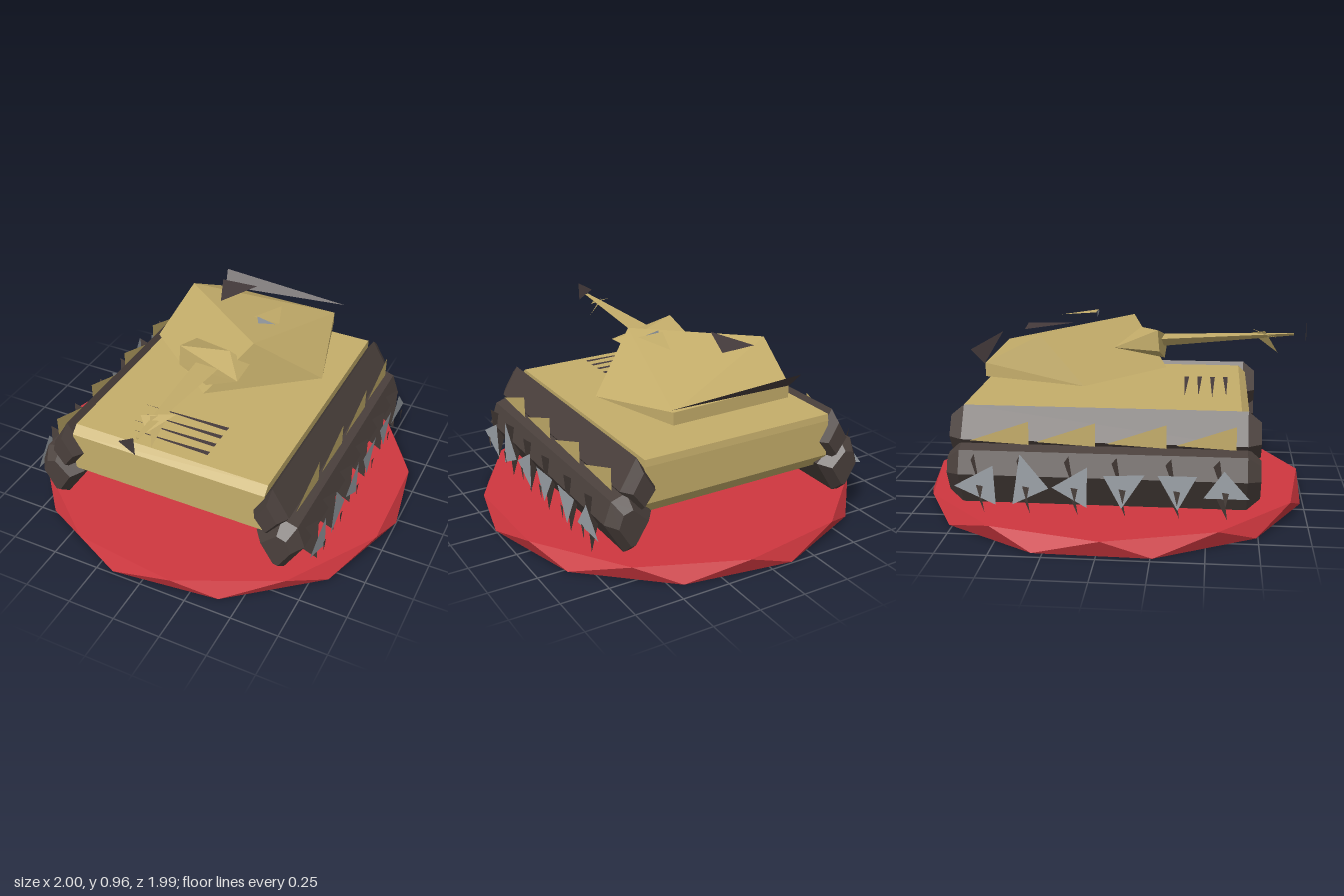
import * as THREE from 'three';
import { ConvexGeometry } from 'three/addons/geometries/ConvexGeometry.js';

function material(name, color) {
  const m = new THREE.MeshStandardMaterial({ color, side: THREE.DoubleSide, flatShading: true });
  m.name = name;
  return m;
}

export function createModel() {
  const sand = material('sand paint', 0xc4ad6a);
  const dark = material('dark track', 0x4a403c);
  const hatchDark = material('hatch dark', 0x453b3c);
  const red = material('red base', 0xcf373f);
  const grey = material('steel grey', 0x9ca2a8);

  const model = new THREE.Group();
  model.name = 'tank';
  const vec = (p) => new THREE.Vector3(...p);
  const add = (parent, name, geometry, mat) => {
    const mesh = new THREE.Mesh(geometry, mat);
    mesh.name = name;
    parent.add(mesh);
    return mesh;
  };
  // faceted solid around its corner points
  const solid = (parent, name, points, mat) => add(parent, name, new ConvexGeometry(points.map(vec)), mat);
  // single thin triangular plate
  const plate = (parent, name, points, mat) => {
    const g = new THREE.BufferGeometry().setFromPoints(points.map(vec));
    g.computeVertexNormals();
    return add(parent, name, g, mat);
  };

  // Base: two eleven-sided rings turned against each other
  const ring = [];
  for (let i = 0; i < 11; i++) {
    const a = (i / 11) * Math.PI * 2;
    ring.push([Math.sin(a + 0.165), 0.087, Math.cos(a + 0.165)]);
    ring.push([Math.sin(a - 0.165), 0, Math.cos(a - 0.165)]);
  }
  solid(model, 'base', ring, red);

  // Hull: side outline (z, y) carried across the width
  const hullOutline = [[-0.705, 0.585], [0.66, 0.585], [0.7, 0.545], [0.7, 0.33],
    [0.65, 0.28], [-0.64, 0.28], [-0.71, 0.36], [-0.71, 0.55]];
  solid(model, 'hull', hullOutline.flatMap(([z, y]) => [[-0.53, y, z], [0.53, y, z]]), sand);

  // Deck grilles
  [0.375, 0.445, 0.515, 0.585].forEach((z, i) => {
    plate(model, 'deckGrille', [[-0.29 + (i % 2) * 0.04, 0.594, z],
      [0.18, 0.594, z + 0.012], [0.18, 0.594, z - 0.014]], hatchDark);
  });

  // Running gear, built once per side and turned around
  const wheels = [
    [[0.7, 0.255], [0.51, 0.36], [0.5, 0.165]],
    [[0.38, 0.42], [0.42, 0.17], [0.245, 0.255]],
    [[0.23, 0.26], [0.06, 0.365], [0.065, 0.165]],
    [[-0.015, 0.325], [-0.21, 0.335], [-0.1, 0.165]],
    [[-0.27, 0.335], [-0.455, 0.335], [-0.365, 0.165]],
    [[-0.58, 0.365], [-0.485, 0.23], [-0.7, 0.23]],
  ];
  const trackBar = (parent, name, section, cx, cy) => {
    const points = [];
    for (const s of [-1, 1]) {
      for (const [x, y] of section) {
        points.push([x, y, s * 0.69]);
        points.push([cx + (x - cx) * 0.62, cy + (y - cy) * 0.62, s * 0.755]);
      }
    }
    solid(parent, name, points, dark);
  };
  for (const side of ['left', 'right']) {
    const gear = new THREE.Group();
    gear.name = side + 'RunningGear';
    if (side === 'right') gear.rotation.y = Math.PI;
    model.add(gear);

    trackBar(gear, 'upperTrack', [[0.565, 0.6], [0.655, 0.45], [0.56, 0.32], [0.47, 0.44]], 0.56, 0.46);
    trackBar(gear, 'lowerTrack', [[0.62, 0.435], [0.7, 0.41], [0.74, 0.3], [0.64, 0.13],
      [0.6, 0.135], [0.49, 0.31]], 0.62, 0.28);

    // Side skirt plates
    for (const z of [0.64, 0.32, -0.02, -0.35]) {
      plate(gear, 'skirtPlate', [[0.668, 0.45, z], [0.668, 0.435, z - 0.285], [0.668, 0.55, z - 0.285]], sand);
    }
    // Wheel discs, tyres and hubs
    wheels.forEach((corners) => {
      const zc = corners.reduce((sum, c) => sum + c[0], 0) / 3;
      plate(gear, 'wheelDisc', corners.map(([z, y]) => [0.775, y, z]), grey);
      plate(gear, 'tyre', [[0.77, 0.415, zc + 0.03], [0.76, 0.12, zc - 0.01], [0.64, 0.3, zc + 0.1]], dark);
      plate(gear, 'hub', [[0.798, 0.27, zc + 0.018], [0.798, 0.265, zc - 0.015], [0.795, 0.195, zc]], dark);
    });
  }

  // Turret
  const turret = new THREE.Group();
  turret.name = 'turret';
  model.add(turret);
  solid(turret, 'turretBody', [
    [-0.38, 0.915, -0.34], [0.18, 0.935, 0.085],
    [-0.48, 0.685, -0.11], [-0.01, 0.685, 0.27], [0.48, 0.685, -0.12],
    [0.34, 0.755, -0.64], [-0.33, 0.76, -0.63], [0.34, 0.69, -0.64], [-0.33, 0.69, -0.63],
  ], sand);
  solid(turret, 'mantlet', [
    [-0.16, 0.91, 0.23], [0.07, 0.885, 0.13], [0.18, 0.82, 0.27],
    [0, 0.735, 0.26], [-0.18, 0.82, 0.01], [0.17, 0.82, 0.1], [-0.16, 0.8, 0.24],
  ], sand);

  // Gun with its muzzle brake
  solid(turret, 'gunBarrel', [
    [-0.065, 0.845, 0.22], [0.07, 0.85, 0.22], [0.0, 0.795, 0.22],
    [-0.01, 0.878, 0.93], [0.01, 0.878, 0.93], [0, 0.866, 0.93],
  ], sand);
  plate(turret, 'muzzleBrake', [[-0.07, 0.88, 0.78], [0.08, 0.885, 0.71], [0, 0.85, 0.85]], sand);
  plate(turret, 'muzzleBrake', [[0.02, 0.77, 0.85], [-0.02, 0.89, 0.78], [0.04, 0.87, 0.71]], sand);
  plate(turret, 'muzzleOpening', [[-0.065, 0.88, 0.99], [0.02, 0.83, 0.99], [0.02, 0.93, 0.995]], hatchDark);

  // Hatch, periscope and rear rack
  plate(turret, 'hatch', [[-0.25, 0.92, -0.44], [-0.145, 0.94, -0.2], [-0.05, 0.92, -0.455]], hatchDark);
  plate(turret, 'periscopeCover', [[0.09, 0.955, -0.115], [0.23, 0.95, -0.115], [0.16, 0.93, -0.31]], sand);
  plate(turret, 'periscopeGlass', [[0.11, 0.965, -0.11], [0.115, 0.925, -0.11], [0.21, 0.945, -0.11]], grey);
  plate(turret, 'rearRack', [[-0.35, 0.83, -0.7], [-0.33, 0.755, -0.635], [0.38, 0.79, -0.685]], hatchDark);

  return model;
}
